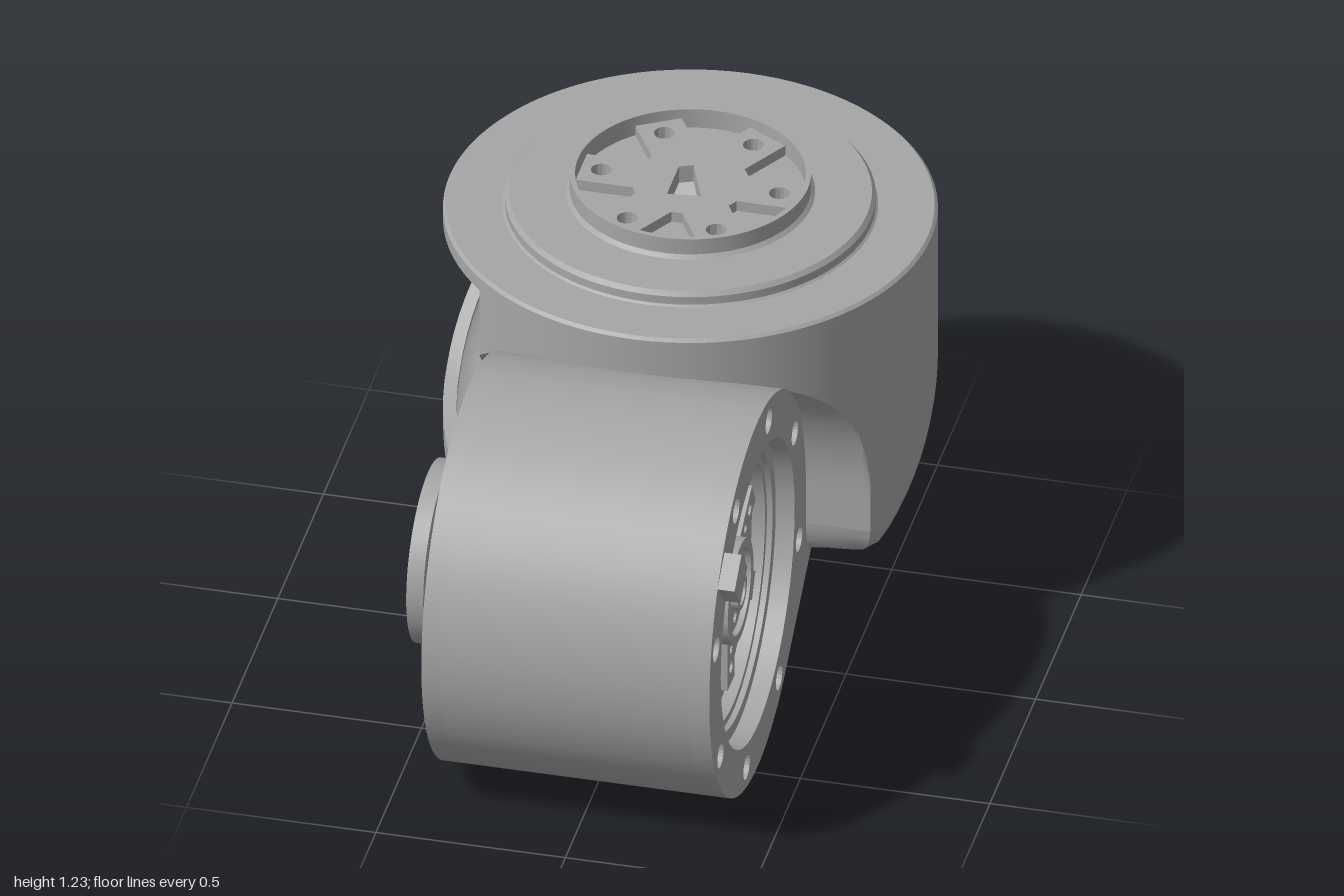
import * as THREE from 'three';
import { toCreasedNormals } from 'three/addons/utils/BufferGeometryUtils.js';

const R = 0.635, CZ = -0.37;            // upper housing radius and axis
const WY = 0.53, WZ = 0.47, WR = 0.53;  // drum centre and radius
const TILT = Math.atan(0.7);            // slope of the underside
const CLEAR = 0.528, FRONT = WZ - CLEAR; // cut where the housing meets the drum
const V = (x, y, z) => new THREE.Vector3(x, y, z);

const gray = new THREE.MeshStandardMaterial({ color: 0xa6a6a6, side: THREE.DoubleSide });
gray.name = 'satin gray';

function part(parent, name, geo, crease = 0.55) {
  const mesh = new THREE.Mesh(toCreasedNormals(geo.index ? geo.toNonIndexed() : geo, crease), gray);
  mesh.name = name;
  parent.add(mesh);
  return mesh;
}

// Surface through a list of equally long point rows
function loft(rows, closeRow) {
  const n = rows[0].length, pos = [], idx = [];
  rows.flat().forEach(p => pos.push(p.x, p.y, p.z));
  for (let i = 0; i < rows.length - 1; i++)
    for (let j = 0; j < (closeRow ? n : n - 1); j++) {
      const a = i * n + j, b = i * n + (j + 1) % n;
      idx.push(a, b, a + n, b, b + n, a + n);
    }
  const g = new THREE.BufferGeometry();
  g.setAttribute('position', new THREE.Float32BufferAttribute(pos, 3));
  g.setIndex(idx);
  return g;
}

const circle = (r, x = 0, y = 0, ry = r) => new THREE.Path().absellipse(x, y, r, ry, 0, Math.PI * 2);
const polygon = pts => new THREE.Shape(pts.map(p => new THREE.Vector2(...p)));
function disc(r, holes = []) {
  const s = new THREE.Shape().absarc(0, 0, r, 0, Math.PI * 2);
  s.holes.push(...holes);
  return s;
}
const extrude = (shape, depth) => new THREE.ExtrudeGeometry(shape, { depth, bevelEnabled: false, curveSegments: 48 });
const slabX = (shape, x0, x1) => extrude(shape, x1 - x0).rotateY(Math.PI / 2).translate(x0, 0, 0);
const slabY = (shape, y0, y1) => extrude(shape, y1 - y0).rotateX(-Math.PI / 2).translate(0, y0, 0);
const lathe = pts => new THREE.LatheGeometry(pts.map(p => new THREE.Vector2(...p)), 96);
const polar = (r, deg) => [r * Math.cos(deg * Math.PI / 180), r * Math.sin(deg * Math.PI / 180)];
const square = h => polygon([[-h, -h], [h, -h], [h, h], [-h, h]]);

// Straight spoke outline from the hub outwards
function spoke(r0, r1, w, holes) {
  const s = polygon([[r0, -w], [r1, -w], [r1, w], [r0, w]]);
  holes.forEach(([x, r]) => s.holes.push(circle(r, x, 0)));
  return s;
}

const plane = z => 0.305 - 0.7 * (z + 0.13);
const underside = (z, lift) => plane(z) + lift + 0.05 * Math.max(0, (z + 0.11) / 0.05) ** 2;
const edgeZ = a => Math.min(CZ + R * Math.cos(a), FRONT);
const bottomY = a => underside(edgeZ(a), 0.1);

// One face of the wall at one angle, following the drum below the meeting height
function wallLine(a, yTop, yBot, rows, inset) {
  const c = CLEAR + inset, z0 = CZ + (R - inset) * Math.cos(a);
  const meet = WY + Math.sqrt(Math.max(0, c * c - (WZ - z0) ** 2));
  const yc = THREE.MathUtils.clamp(meet, yBot, yTop);
  const line = [];
  for (let k = 0; k <= 2 * rows; k++) {
    const y = k <= rows ? yTop + (yc - yTop) * k / rows : yc + (yBot - yc) * (k - rows) / rows;
    const dy = Math.max(0, y - WY);
    const cut = k < rows ? z0 : WZ - Math.sqrt(Math.max(0, c * c - dy * dy));
    line.push(V((R - inset) * Math.sin(a), y, Math.min(z0, cut)));
  }
  return line;
}
const section = (a, yTop, yBot, rows) =>
  [...wallLine(a, yTop, yBot, rows, 0), ...wallLine(a, yTop, yBot, rows, 0.035).reverse()];

function buildHousing(root) {
  const g = new THREE.Group();
  g.name = 'upperHousing';
  root.add(g);
  const N = 96, w0 = 60, w1 = 84, top = 1.12;
  const ang = i => i / N * Math.PI * 2;
  const edge = [[-0.83, 1.0], [-0.76, 0.85], [-0.58, 0.7], [-0.37, 0.575], [0.1, 0.37]];
  const sillY = z => {
    let k = 0;
    while (k < 3 && z > edge[k + 1][0]) k++;
    const [a, b] = [edge[k], edge[k + 1]];
    return a[1] + (b[1] - a[1]) * (z - a[0]) / (b[0] - a[0]);
  };
  // Solid wall, then the lintel and sill around the side window
  const solid = [], lintel = [], sill = [];
  for (let i = w1; i <= w0 + N; i++) solid.push(section(ang(i), top, bottomY(ang(i)), 14));
  for (let i = w0; i <= w1; i++) {
    const a = ang(i), b = bottomY(a);
    lintel.push(section(a, top, Math.min(1.085, 1.0 + (i - w0) * 0.02), 2));
    sill.push(section(a, Math.max(sillY(CZ + R * Math.cos(a)), b + 0.012), b, 4));
  }
  part(g, 'housingWall', loft(solid, true));
  part(g, 'windowLintel', loft(lintel, true));
  part(g, 'windowSill', loft(sill, true));
  part(g, 'windowRib', new THREE.BoxGeometry(0.1, 0.04, 0.03).translate(-0.51, 1.06, -0.2));

  // Sloping underside with rounded border and recess for the cover
  const CR = 0.45, coverZ = -0.47, steps = 7, rings = [[], []];
  for (let k = 0; k <= steps; k++) rings.push([]);
  for (let i = 0; i <= N; i++) {
    const a = ang(i), s = Math.sin(a);
    const pz = coverZ + CR * Math.cos(TILT) * Math.cos(a);
    rings[0].push(V(CR * s, plane(pz) + 0.025, pz + 0.0175));
    rings[1].push(V(CR * s, plane(pz), pz));
    for (let k = 0; k <= steps; k++) {
      const t = k / steps * Math.PI / 2, f = 0.2 + 0.8 * Math.sin(t);
      const z = pz + (edgeZ(a) - pz) * f;
      rings[k + 2].push(V((CR + (R - CR) * f) * s, underside(z, 0.1 * (1 - Math.cos(t))), z));
    }
  }
  part(g, 'housingUnderside', loft(rings));

  // Sunken cover with six access holes and small screw holes
  const holes = [];
  for (let k = 0; k < 6; k++) {
    const [x, y] = polar(0.235, k * 60);
    holes.push(circle(0.042, x, y / Math.cos(TILT) - 0.122, 0.046));
  }
  for (let k = 0; k < 4; k++) holes.push(circle(0.01, ...polar(0.41, 45 + k * 90)));
  const cover = part(g, 'undersideCover', slabY(disc(CR, holes), 0, 0.015));
  cover.rotation.x = TILT;
  cover.position.set(0, plane(coverZ) + 0.012, coverZ + 0.0084);
}

function buildTurntable(root) {
  const g = new THREE.Group();
  g.name = 'turntable';
  g.position.z = CZ;
  root.add(g);
  part(g, 'steppedLid', lathe([[0.6, 1.11], [R, 1.115], [R, 1.122], [0.627, 1.13], [0.482, 1.13], [0.476, 1.135],
    [0.476, 1.158], [0.466, 1.17], [0.32, 1.17], [0.31, 1.18], [0.31, 1.226], [0.296, 1.226], [0.296, 1.15]]), 0.4);
  const slot = () => polygon([[-0.045, 0.06], [-0.01, 0.075], [0.042, -0.06], [-0.045, -0.07]]);
  const bolts = Array.from({ length: 6 }, (_, k) => circle(0.027, ...polar(0.235, k * 60)));
  part(g, 'pocketFloor', slabY(disc(0.3, [...bolts, slot()]), 1.15, 1.17));
  part(g, 'starHub', slabY(disc(0.15, [slot()]), 1.165, 1.2));
  for (let k = 0; k < 6; k++)
    part(g, 'starSpoke', slabY(spoke(0.13, 0.288, 0.062, [[0.235, 0.027]]), 1.165, 1.2)).rotation.y = k * Math.PI / 3;
}

// Drum outline with the tangent neck that runs into the housing
function drumOutline(holes) {
  const s = new THREE.Shape(), u = WZ + 0.12;
  s.moveTo(u, plane(-0.12) - WY);
  s.lineTo(u, -0.1);
  s.lineTo(WR, 0);
  s.absarc(0, 0, WR, 0, Math.PI * 1.5 + TILT, false);
  s.closePath();
  s.holes.push(...holes);
  return s;
}

function buildDrum(root) {
  const g = new THREE.Group();
  g.name = 'driveDrum';
  g.position.set(0, WY, WZ);
  root.add(g);
  const boltAngles = Array.from({ length: 8 }, (_, k) => 30 + k * 45);
  part(g, 'drumBody', slabX(drumOutline([circle(0.37)]), -0.33, 0.33));
  part(g, 'drumFaceRing', slabX(drumOutline([circle(0.405),
    ...boltAngles.map(a => circle(0.035, ...polar(0.47, a)))]), 0.33, 0.38));
  part(g, 'drumOpenRim', slabX(drumOutline([circle(0.495)]), -0.38, -0.33));
  boltAngles.forEach(a => {
    const [u, v] = polar(0.47, a);
    part(g, 'faceBolt', new THREE.CylinderGeometry(0.024, 0.024, 0.035, 6).rotateZ(Math.PI / 2).translate(0.347, v, -u));
  });

  // Output rotor with six drilled spokes
  part(g, 'rotorDisc', slabX(disc(0.375, [circle(0.035)]), 0.26, 0.28));
  part(g, 'rotorRim', slabX(disc(0.375, [circle(0.35)]), 0.27, 0.315));
  part(g, 'rotorHub', slabX(disc(0.14, [circle(0.115)]), 0.28, 0.335));
  part(g, 'rotorCore', slabX(disc(0.116, [circle(0.035),
    ...Array.from({ length: 6 }, (_, k) => circle(0.016, ...polar(0.08, k * 60 + 30)))]), 0.28, 0.32));
  part(g, 'rotorBushing', slabX(disc(0.048, [circle(0.034)]), 0.27, 0.34));
  for (let k = 0; k < 6; k++)
    part(g, 'rotorSpoke', slabX(spoke(0.13, 0.285, 0.038, [[0.235, 0.017], [0.18, 0.013]]), 0.28, 0.31))
      .rotation.x = Math.PI / 6 + k * Math.PI / 3;

  // Flanged bearing tube on the open side
  part(g, 'openSidePlate', slabX(disc(0.38, [circle(0.16)]), -0.335, -0.31));
  part(g, 'bearingTube', lathe([[0.21, 0.32], [0.21, 0.442], [0.24, 0.445], [0.24, 0.49], [0.195, 0.495],
    [0.19, 0.48], [0.16, 0.48], [0.16, 0.1]]).rotateZ(Math.PI / 2), 0.4);

  // Connectors on both faces
  const tab = part(g, 'faceConnector', new THREE.BoxGeometry(0.07, 0.1, 0.1));
  tab.position.set(0.39, 0.29, 0.37);
  tab.rotation.x = 0.7;
  part(g, 'lowerConnector', new THREE.BoxGeometry(0.09, 0.17, 0.08).translate(-0.375, -0.29, -0.25));
  const frame = square(0.055);
  frame.holes.push(square(0.042));
  part(g, 'socketFrame', slabX(frame, -0.35, -0.33).translate(0, 0.34, -0.05));
}

export function createModel() {
  const root = new THREE.Group();
  root.name = 'robotJoint';
  buildHousing(root);
  buildTurntable(root);
  buildDrum(root);
  return root;
}
